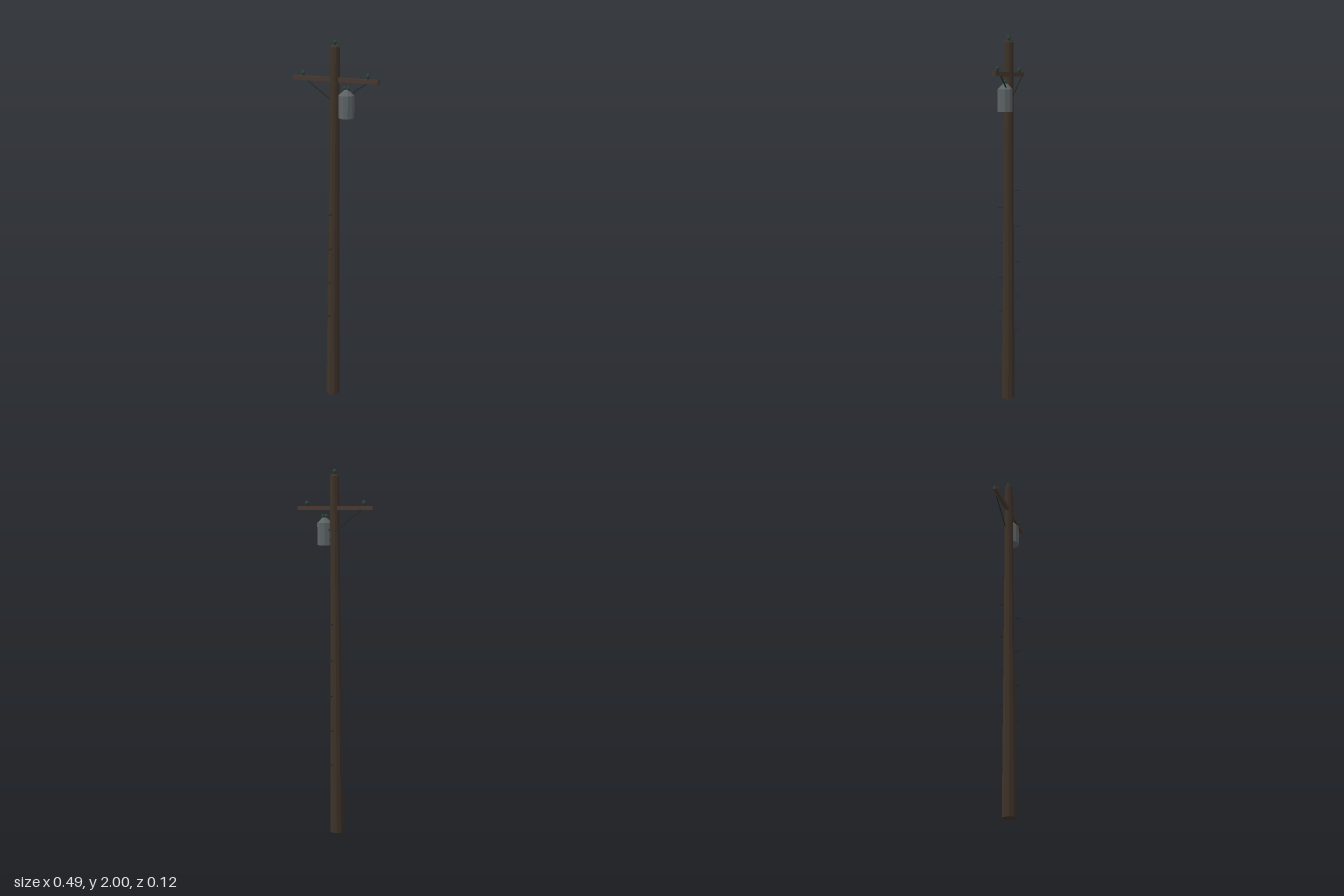
import * as THREE from 'three';

const flat = (color, name) => {
  const m = new THREE.MeshStandardMaterial({ color });
  m.name = name;
  return m;
};

export function createModel() {
  const root = new THREE.Group();
  root.name = 'utilityPole';
  const wood = flat(0x3d3228, 'dark timber');
  const armWood = flat(0x46382f, 'arm timber');
  const endGrain = flat(0x4a4540, 'weathered end grain');
  const steel = flat(0x5c6365, 'grey steel');
  const iron = flat(0x262c28, 'dark iron');
  const glass = flat(0x2c4637, 'green glass');

  // Faceted mesh helper
  const add = (name, geo, mat, x = 0, y = 0, z = 0, parent = root) => {
    const g = geo.index ? geo.toNonIndexed() : geo;
    g.computeVertexNormals();
    const mesh = new THREE.Mesh(g, mat);
    mesh.name = name;
    mesh.position.set(x, y, z);
    parent.add(mesh);
    return mesh;
  };

  // Centre line and radius of the leaning, tapering pole
  const H = 1.972;
  const axisX = y => -0.011 * (1 - y / H);
  const axisZ = y => 0.003 - 0.007 * (y / H);
  const radius = y => 0.038 - 0.016 * (y / H);

  // Pole: a cylinder sheared and tapered, with a small bevel at the top
  const pole = new THREE.CylinderGeometry(1, 1, H, 10, 6);
  pole.translate(0, H / 2, 0);
  const p = pole.attributes.position;
  for (let i = 0; i < p.count; i++) {
    const y = p.getY(i);
    const r = y > H - 0.001 ? 0.019 : radius(y);
    const level = y > H - 0.001 ? H : y > H * 0.8 ? H - 0.01 : y;
    p.setXYZ(i, axisX(level) + p.getX(i) * r, level, axisZ(level) + p.getZ(i) * r);
  }
  add('pole', pole, [wood, endGrain, wood]);

  // Crossarm through the pole
  const Z = -0.004;
  add('crossarm', new THREE.BoxGeometry(0.49, 0.022, 0.019), armWood, -0.001, 1.799, Z);

  // Insulators: pin with a rounded glass head
  const insulator = (name, x, y, z, s = 1) => {
    const g = new THREE.Group();
    g.name = name;
    g.position.set(x, y, z);
    g.scale.setScalar(s);
    add('pin', new THREE.CylinderGeometry(0.005, 0.005, 0.016, 6), iron, 0, 0.006, 0, g);
    const profile = [[0, 0.007], [0.008, 0.009], [0.0105, 0.017], [0.008, 0.025], [0, 0.029]];
    add('head', new THREE.LatheGeometry(profile.map(a => new THREE.Vector2(...a)), 8), glass, 0, 0, 0, g);
    root.add(g);
  };
  insulator('leftInsulator', 0.185, 1.81, Z);
  insulator('rightInsulator', -0.187, 1.81, Z);
  insulator('topInsulator', 0, H - 0.001, Z);

  // Diagonal braces behind the arm
  for (const s of [-1, 1]) {
    const a = new THREE.Vector2(s * 0.008, 1.675), b = new THREE.Vector2(s * 0.177, 1.79);
    const d = b.clone().sub(a);
    const brace = add(s > 0 ? 'leftBrace' : 'rightBrace', new THREE.BoxGeometry(d.length(), 0.006, 0.005),
      iron, (a.x + b.x) / 2, (a.y + b.y) / 2, -0.018);
    brace.rotation.z = Math.atan2(d.y, d.x);
  }

  // Transformer can with a conical lid
  const can = [[0, 1.605], [0.041, 1.605], [0.041, 1.722], [0.012, 1.75], [0, 1.75]];
  add('transformer', new THREE.LatheGeometry(can.map(a => new THREE.Vector2(...a)), 10), steel, 0.065, 0, Z - 0.001);
  for (const x of [0.054, 0.077]) insulator('bushing', x, 1.744, Z, 0.85);
  for (const y of [1.63, 1.7]) add('bracket', new THREE.BoxGeometry(0.03, 0.008, 0.012), iron, 0.022, y, Z);

  // Climbing steps, alternating back and front
  for (let i = 0; i < 9; i++) {
    const y = 0.4 + i * 0.098;
    const s = i % 2 ? 1 : -1;
    const inner = axisZ(y) + s * radius(y) * 0.8;
    const outer = s * 0.059;
    add('climbingStep', new THREE.BoxGeometry(0.007, 0.005, Math.abs(outer - inner)), iron,
      axisX(y), y, (inner + outer) / 2);
  }
  return root;
}
